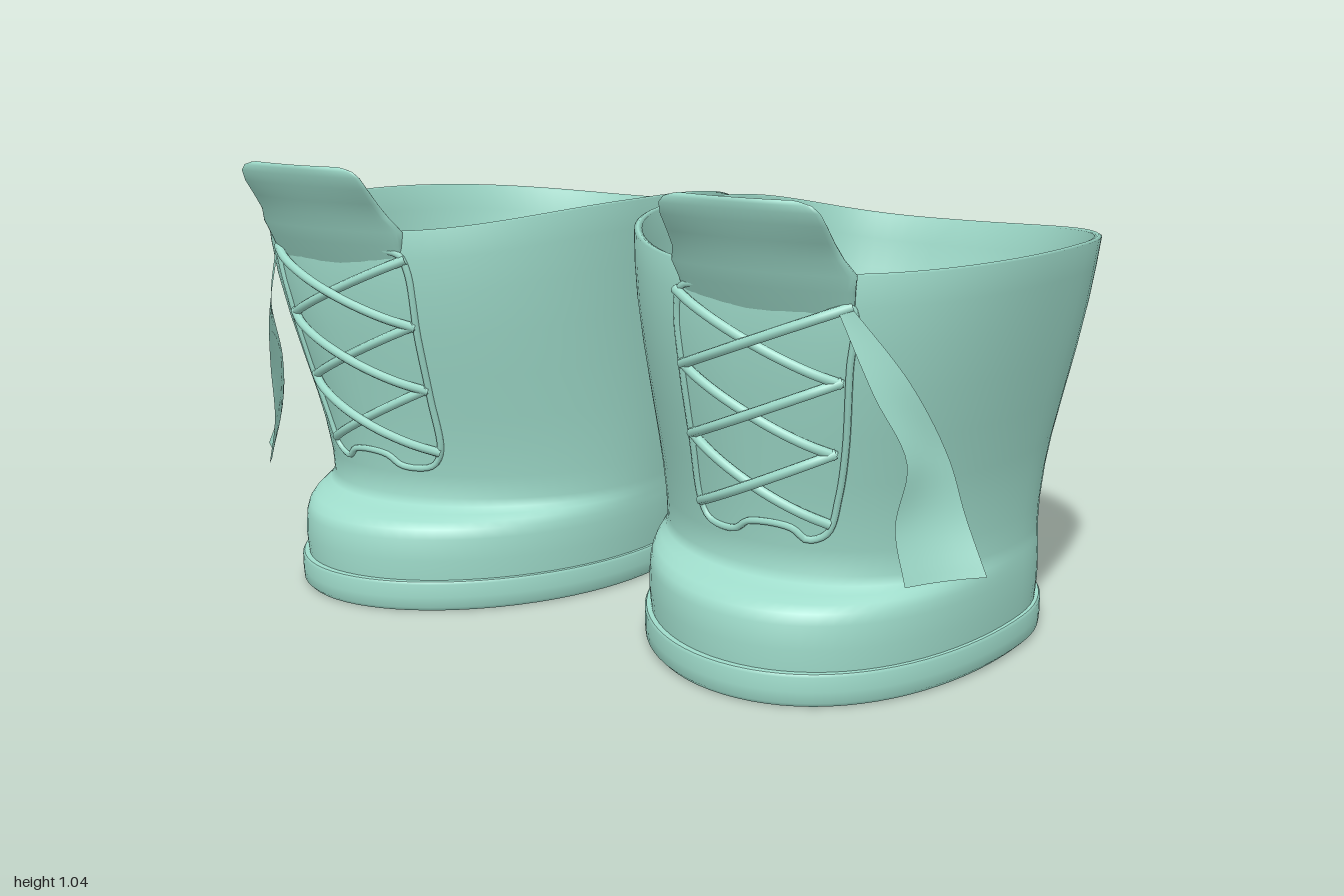
import * as THREE from 'three';

const material = new THREE.MeshStandardMaterial({ color: 0x9fdccb });
const thinMaterial = new THREE.MeshStandardMaterial({ color: 0x9fdccb, side: THREE.DoubleSide });
const SEG = 80, ZM = -0.05, SKEW = 0.055;
const { lerp, smoothstep } = THREE.MathUtils;

// Shaft levels: height, inner x, outer x, back z, front z
const LEVELS = [
  [0.06, 0.065, 0.905, -0.52, 0.55], [0.12, 0.06, 0.91, -0.52, 0.556], [0.17, 0.06, 0.91, -0.521, 0.551],
  [0.192, 0.061, 0.909, -0.523, 0.54], [0.206, 0.062, 0.908, -0.524, 0.518], [0.217, 0.062, 0.907, -0.525, 0.482],
  [0.228, 0.063, 0.906, -0.526, 0.448], [0.245, 0.063, 0.905, -0.528, 0.43], [0.3, 0.062, 0.906, -0.535, 0.435],
  [0.38, 0.061, 0.913, -0.547, 0.45], [0.45, 0.06, 0.923, -0.56, 0.465], [0.55, 0.058, 0.942, -0.583, 0.488],
  [0.65, 0.055, 0.961, -0.606, 0.51], [0.75, 0.052, 0.978, -0.626, 0.528], [0.83, 0.05, 0.989, -0.64, 0.536],
  [0.893, 0.05, 0.997, -0.648, 0.538],
];

// Oval at the sole, squarer towards the collar, most of all on the inner side
const power = (y, side) => lerp(2.03, side < 0 ? 2.65 : 2.35, smoothstep(y, 0.25, 0.85));

// Skin a list of closed rings; outward when rings rise
function loft(rings) {
  const n = rings[0].length, pos = [], idx = [];
  rings.forEach(r => r.forEach(p => pos.push(...p)));
  for (let i = 0; i < rings.length - 1; i++) {
    for (let j = 0; j < n; j++) {
      const a = i * n + j, b = i * n + (j + 1) % n, c = a + n, d = b + n;
      idx.push(a, c, b, b, c, d);
    }
  }
  const g = new THREE.BufferGeometry();
  g.setAttribute('position', new THREE.Float32BufferAttribute(pos, 3));
  g.setIndex(idx);
  g.computeVertexNormals();
  return g;
}

// Foot-shaped ring; the upper levels follow the wavy collar
function footRing([y, x0, x1, zb, zf], inset = 0, scale = 1) {
  const ring = [], xm = (x0 + x1) / 2, hw = (x1 - x0) / 2 - inset;
  const blend = smoothstep(y, 0.4, 0.89);
  for (let j = 0; j < SEG; j++) {
    const t = j / SEG * Math.PI * 2;
    const c = Math.cos(t), s = Math.sin(t), e = 2 / power(y, c);
    const cx = Math.sign(c) * Math.abs(c) ** e, sz = Math.sign(s) * Math.abs(s) ** e;
    const depth = (s > 0 ? zf - ZM : ZM - zb) - inset;
    const rim = 0.8685 + 0.0165 * s + c * c * (0.0485 - 0.02 * c);
    ring.push([xm + scale * (hw * cx + SKEW * sz * Math.abs(sz)), y + (rim - 0.893) * blend, ZM + scale * depth * sz]);
  }
  return ring;
}

// Point on the front of the shaft, lifted forward by off
function onFront(x, y, off) {
  let k = 0;
  while (k < LEVELS.length - 2 && LEVELS[k + 1][0] < y) k++;
  const A = LEVELS[k], B = LEVELS[k + 1], f = (y - A[0]) / (B[0] - A[0]);
  const [, x0, x1, , zf] = A.map((v, i) => lerp(v, B[i], f));
  let s = 1;
  for (let i = 0; i < 6; i++) {
    const u = (x - (x0 + x1) / 2 - SKEW * s * s) / ((x1 - x0) / 2), p = power(y, u);
    s = (1 - Math.min(0.999, Math.abs(u)) ** p) ** (1 / p);
  }
  return new THREE.Vector3(x, y, ZM + (zf - ZM) * s + off);
}

// Shaft and toe, with a thicker lining inside the collar
function upperGeometry() {
  const outer = LEVELS.map(l => footRing(l));
  const top = LEVELS[LEVELS.length - 1];
  const lip = footRing(top, 0.007).map(([x, y, z]) => [x, y + 0.004, z]);
  const down = [...LEVELS].reverse();
  const lining = down.filter(l => l[0] >= 0.65).map(l => footRing(l, 0.016));
  const wall = down.filter(l => l[0] <= 0.65).map(l => footRing(l, 0.007));
  return loft([...outer, lip, ...lining, lining[lining.length - 1], wall[0], ...wall]);
}

function soleGeometry() {
  const ring = (y, inset, scale) => footRing([y, 0.052, 0.918, -0.535, 0.57], inset, scale);
  const under = ring(0, 0.012), edge = ring(0.072, 0.004);
  return loft([ring(0, 0.012, 0), under, under, ring(0.01, 0.002), ring(0.035, 0), ring(0.066, 0), edge, edge, ring(0.072, 0.004, 0)]);
}

// Curved tongue: height, half width, front z, half thickness
function tongueGeometry() {
  const rows = [[0.8, 0.19, 0.525, 0.004], [0.86, 0.2, 0.542, 0.02], [0.893, 0.208, 0.553, 0.025], [0.925, 0.193, 0.573, 0.018],
    [0.96, 0.188, 0.598, 0.014], [0.995, 0.186, 0.622, 0.011], [1.02, 0.18, 0.636, 0.008], [1.034, 0.165, 0.642, 0.006],
    [1.041, 0.14, 0.645, 0.003], [1.043, 0.125, 0.645, 0]];
  return loft(rows.map(([y, w, z, th]) => {
    const ring = [], bend = lerp(0.028, 0.014, smoothstep(y, 0.88, 1.03));
    for (let j = 0; j < 40; j++) {
      const t = j / 40 * Math.PI * 2, c = Math.cos(t), s = Math.sin(t);
      ring.push([0.572 + w * c, y, z + th * Math.sign(s) * Math.sqrt(Math.abs(s)) - bend * c * c]);
    }
    return ring;
  }));
}

// Seam around the lace opening
function weltGeometry() {
  const outline = [[0.38, 0.84], [0.47, 0.848], [0.6, 0.85], [0.74, 0.845], [0.765, 0.82], [0.75, 0.7], [0.725, 0.53], [0.7, 0.42],
    [0.672, 0.34], [0.63, 0.322], [0.6, 0.345], [0.5, 0.345], [0.46, 0.32], [0.385, 0.325], [0.362, 0.36], [0.36, 0.5], [0.36, 0.65], [0.362, 0.8]];
  const curve = new THREE.CatmullRomCurve3(outline.map(([x, y]) => onFront(x, y, 0.002)), true, 'centripetal');
  return new THREE.TubeGeometry(curve, 140, 0.008, 6, true);
}

function laceGeometry(xa, ya, xb, yb, bulge) {
  const pts = [];
  for (let i = 0; i <= 8; i++) {
    const t = i / 8;
    pts.push(onFront(lerp(xa, xb, t), lerp(ya, yb, t), 0.004 + bulge * Math.sin(Math.PI * t) ** 0.7));
  }
  return new THREE.TubeGeometry(new THREE.CatmullRomCurve3(pts), 24, 0.011, 8);
}

// Flat hanging lace end between two edge curves
function ribbonGeometry() {
  const curve = pts => new THREE.CatmullRomCurve3(pts.map(p => new THREE.Vector3(...p)));
  const front = curve([[0.745, 0.82, 0.53], [0.81, 0.66, 0.502], [0.862, 0.52, 0.455], [0.845, 0.39, 0.465], [0.87, 0.272, 0.465]]);
  const back = curve([[0.765, 0.83, 0.515], [0.86, 0.68, 0.445], [0.91, 0.52, 0.365], [0.94, 0.4, 0.342], [0.992, 0.283, 0.346]]);
  const pos = [], idx = [], N = 28, M = 4;
  for (let i = 0; i <= N; i++) {
    const a = front.getPoint(i / N), b = back.getPoint(i / N);
    for (let j = 0; j <= M; j++) {
      const p = a.clone().lerp(b, j / M), bow = 0.006 * Math.sin(Math.PI * j / M) * i / N;
      pos.push(p.x - bow, p.y, p.z - bow);
      if (i < N && j < M) {
        const k = i * (M + 1) + j;
        idx.push(k, k + M + 1, k + 1, k + 1, k + M + 1, k + M + 2);
      }
    }
  }
  const g = new THREE.BufferGeometry();
  g.setAttribute('position', new THREE.Float32BufferAttribute(pos, 3));
  g.setIndex(idx);
  g.computeVertexNormals();
  return g;
}

// Mirror across x = 0 and turn the faces back outward
function mirrored(geometry) {
  const g = geometry.clone().scale(-1, 1, 1), a = g.index.array;
  for (let i = 0; i < a.length; i += 3) [a[i], a[i + 1]] = [a[i + 1], a[i]];
  return g;
}

export function createModel() {
  const parts = [
    ['upper', upperGeometry()], ['sole', soleGeometry()], ['tongue', tongueGeometry()],
    ['laceOpeningSeam', weltGeometry()], ['laceEnd', ribbonGeometry(), thinMaterial],
  ];
  // Three crossed pairs of laces, narrowing downward
  const right = y => 0.675 + (y - 0.34) * 0.18;
  [0.83, 0.675, 0.52].forEach((y, i) => {
    const low = y - 0.16;
    parts.push([`laceFalling${i + 1}`, laceGeometry(0.362, y, right(low), low, 0.018)]);
    parts.push([`laceRising${i + 1}`, laceGeometry(0.362, low, right(y), y, 0.034)]);
  });

  const model = new THREE.Group();
  model.name = 'bootPair';
  for (const side of ['left', 'right']) {
    const boot = new THREE.Group();
    boot.name = `${side}Boot`;
    for (const [name, geometry, mat = material] of parts) {
      const mesh = new THREE.Mesh(side === 'left' ? geometry : mirrored(geometry), mat);
      mesh.name = name;
      boot.add(mesh);
    }
    model.add(boot);
  }
  return model;
}
